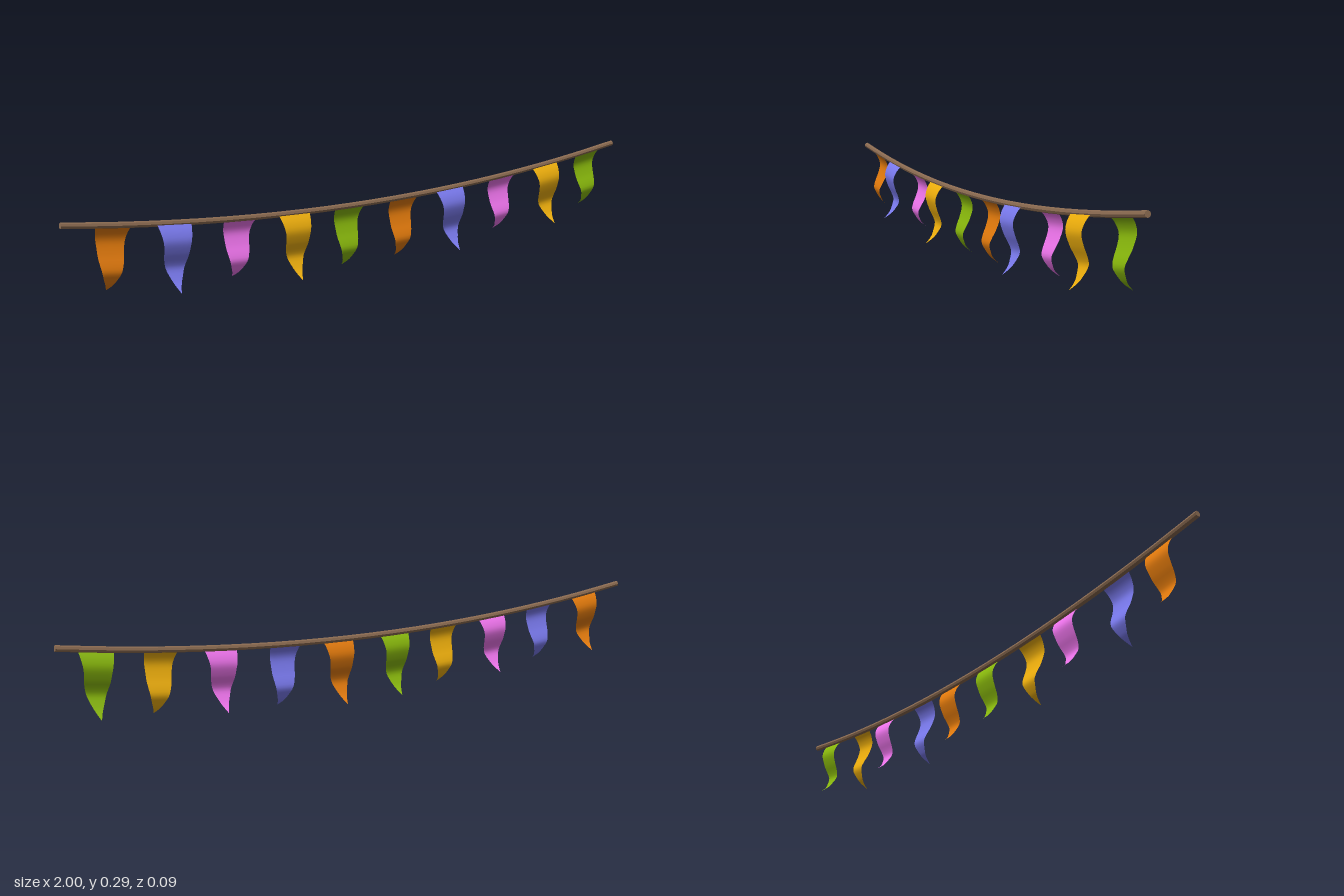
import * as THREE from 'three';

const ROPE_Z = -0.008, ROPE_R = 0.0095;
const ropeY = x => 0.205 + 0.076 * x * x;

// Spline through [s, value] pairs, sampled by s in 0..1
function profile(points) {
  const curve = new THREE.SplineCurve(points.map(p => new THREE.Vector2(...p)));
  const samples = curve.getPoints(140);
  return s => {
    let i = 1;
    while (i < samples.length - 1 && samples[i].x < s) i++;
    const a = samples[i - 1], b = samples[i];
    return THREE.MathUtils.mapLinear(s, a.x, b.x, a.y, b.y);
  };
}

// Half width of a flag, and its flutter in depth, from rope (0) to tip (1)
const halfWidth = profile([[0, 0.052], [0.12, 0.047], [0.3, 0.041], [0.5, 0.037], [0.7, 0.027], [0.87, 0.013], [1, 0]]);
const flutter = profile([[0, 0.002], [0.1, 0.016], [0.24, 0.024], [0.42, 0.015], [0.57, 0.002], [0.68, -0.003], [0.8, 0.007], [0.9, 0.02], [1, 0.044]]);

function makeFlag(topX, tipX, tipY, side, color) {
  const geo = new THREE.PlaneGeometry(1, 1, 6, 24);
  const pos = geo.attributes.position;
  const slope = 0.152 * topX, topY = ropeY(topX) - 0.003;
  for (let i = 0; i < pos.count; i++) {
    const s = 0.5 - pos.getY(i);
    const across = pos.getX(i) * 2 * halfWidth(s);
    const x = THREE.MathUtils.lerp(topX, tipX, s) + across;
    const y = THREE.MathUtils.lerp(topY, tipY, s) + across * slope;
    pos.setXYZ(i, x, y, side * flutter(s));
  }
  geo.computeVertexNormals();
  const mesh = new THREE.Mesh(geo, new THREE.MeshStandardMaterial({ color, side: THREE.DoubleSide }));
  mesh.name = 'flag';
  return mesh;
}

export function createModel() {
  const group = new THREE.Group();
  group.name = 'bunting';

  // Sagging rope with closed ends
  const rope = new THREE.Group();
  rope.name = 'rope';
  const ropeMat = new THREE.MeshStandardMaterial({ color: 0x8a6a50, flatShading: true });
  const path = new THREE.CatmullRomCurve3(Array.from({ length: 13 }, (_, i) => {
    const x = -1 + i / 6;
    return new THREE.Vector3(x, ropeY(x), ROPE_Z);
  }));
  const cord = new THREE.Mesh(new THREE.TubeGeometry(path, 24, ROPE_R, 8), ropeMat);
  cord.name = 'cord';
  rope.add(cord);
  for (const t of [0, 1]) {
    const cap = new THREE.Mesh(new THREE.CircleGeometry(ROPE_R, 8), ropeMat);
    cap.name = 'cordEnd';
    const outward = path.getTangent(t).multiplyScalar(t ? 1 : -1);
    cap.position.copy(path.getPoint(t));
    cap.quaternion.setFromUnitVectors(new THREE.Vector3(0, 0, 1), outward);
    rope.add(cap);
  }
  group.add(rope);

  // Flags: top x, tip x, tip y, and direction of the flutter
  const colors = [0xe67c0c, 0x7b7bf0, 0xf075ee, 0xf0b00c, 0x8aba0c];
  const flags = [
    [-0.852, -0.872, 0.06, -1], [-0.672, -0.677, 0.04, 1],
    [-0.463, -0.478, 0.032, -1], [-0.283, -0.28, 0.008, 1],
    [-0.086, -0.094, 0.004, -1], [0.117, 0.105, 0.002, -1],
    [0.292, 0.308, 0.008, 1], [0.511, 0.506, 0.032, -1],
    [0.69, 0.709, 0.04, 1], [0.885, 0.89, 0.066, -1],
  ];
  flags.forEach((f, i) => group.add(makeFlag(...f, colors[i % 5])));
  return group;
}
